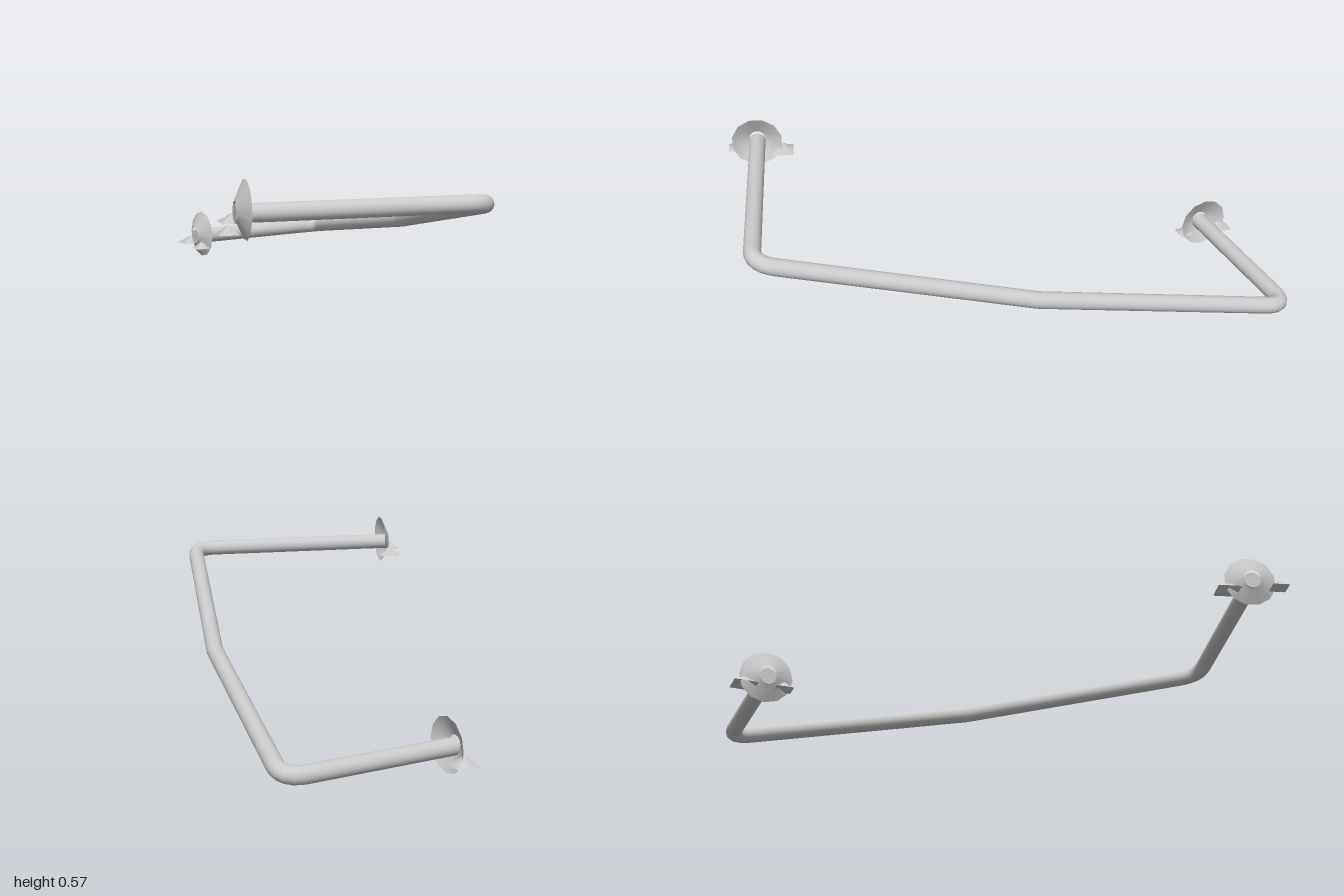
import * as THREE from 'three';

const v = (x, y, z) => new THREE.Vector3(x, y, z);
const PIPE_R = 0.031;

export function createModel() {
  const root = new THREE.Group();
  const mat = new THREE.MeshStandardMaterial({ color: 0xcccccc, side: THREE.DoubleSide });

  const add = (name, geo, parent = root) => {
    const mesh = new THREE.Mesh(geo, mat);
    mesh.name = name;
    parent.add(mesh);
    return mesh;
  };

  // Rail: straight runs joined by rounded bends at the inner path points
  const path = [
    v(-0.63, 0.463, 0.73),
    v(0.19, 0.464, 0.976),
    v(0.515, 0.26, 0.05),
    v(0.71, 0.092, -0.878),
    v(0.075, 0.093, -0.878),
  ];
  const trim = [0, 0.085, 0.012, 0.09, 0];
  const toward = (a, b, d) => a.clone().add(b.clone().sub(a).setLength(d));
  const rail = new THREE.Group();
  rail.name = 'rail';
  root.add(rail);
  for (let i = 0; i < path.length - 1; i++) {
    const a = trim[i] ? toward(path[i], path[i + 1], trim[i]) : path[i];
    const b = trim[i + 1] ? toward(path[i + 1], path[i], trim[i + 1]) : path[i + 1];
    add('railRun', new THREE.TubeGeometry(new THREE.LineCurve3(a, b), 1, PIPE_R, 20), rail);
    if (trim[i + 1]) {
      const c = toward(path[i + 1], path[i + 2], trim[i + 1]);
      const bend = new THREE.QuadraticBezierCurve3(b, path[i + 1], c);
      add('railBend', new THREE.TubeGeometry(bend, 6, PIPE_R, 20), rail);
    }
  }

  // Wall mount: end cap and dished flange, local +y pointing out of the pipe end
  const mount = (name, end, next, lift) => {
    const g = new THREE.Group();
    g.name = name;
    g.position.copy(end);
    g.quaternion.setFromUnitVectors(v(0, 1, 0), end.clone().sub(next).normalize());
    const cap = add('pipeEndCap', new THREE.CircleGeometry(PIPE_R, 20), g);
    cap.rotation.x = -Math.PI / 2;
    root.add(g);
    const dish = [new THREE.Vector2(0.098, -0.033), new THREE.Vector2(0.03, 0)];
    const flange = add('wallFlange', new THREE.LatheGeometry(dish, 12));
    flange.position.copy(end).y += lift;
    flange.quaternion.copy(g.quaternion);
  };
  mount('upperMount', path[0], path[1], 0.011);
  mount('lowerMount', path[4], path[3], 0.009);

  // Small flared four-sided fixing plates beside each mount
  const plate = (name, x, y, z, half, height, turn) => {
    const r = half * Math.SQRT2;
    const profile = [[r, 0], [r * 0.55, height * 0.38], [r * 0.2, height * 0.85], [0.0001, height]];
    const geo = new THREE.LatheGeometry(profile.map(p => new THREE.Vector2(...p)), 4);
    const mesh = add(name, geo);
    mesh.position.set(x, y, z);
    mesh.rotation.y = Math.PI / 4 + turn;
  };
  plate('lowerLargePlate', 0.093, 0.053, -0.957, 0.043, 0.031, 0);
  plate('lowerSmallPlate', 0.074, 0.05, -0.818, 0.031, 0.028, 0);
  plate('upperLargePlate', -0.59, 0.421, 0.645, 0.043, 0.031, -0.29);
  plate('upperSmallPlate', -0.693, 0.414, 0.8, 0.031, 0.028, -0.29);

  return root;
}
